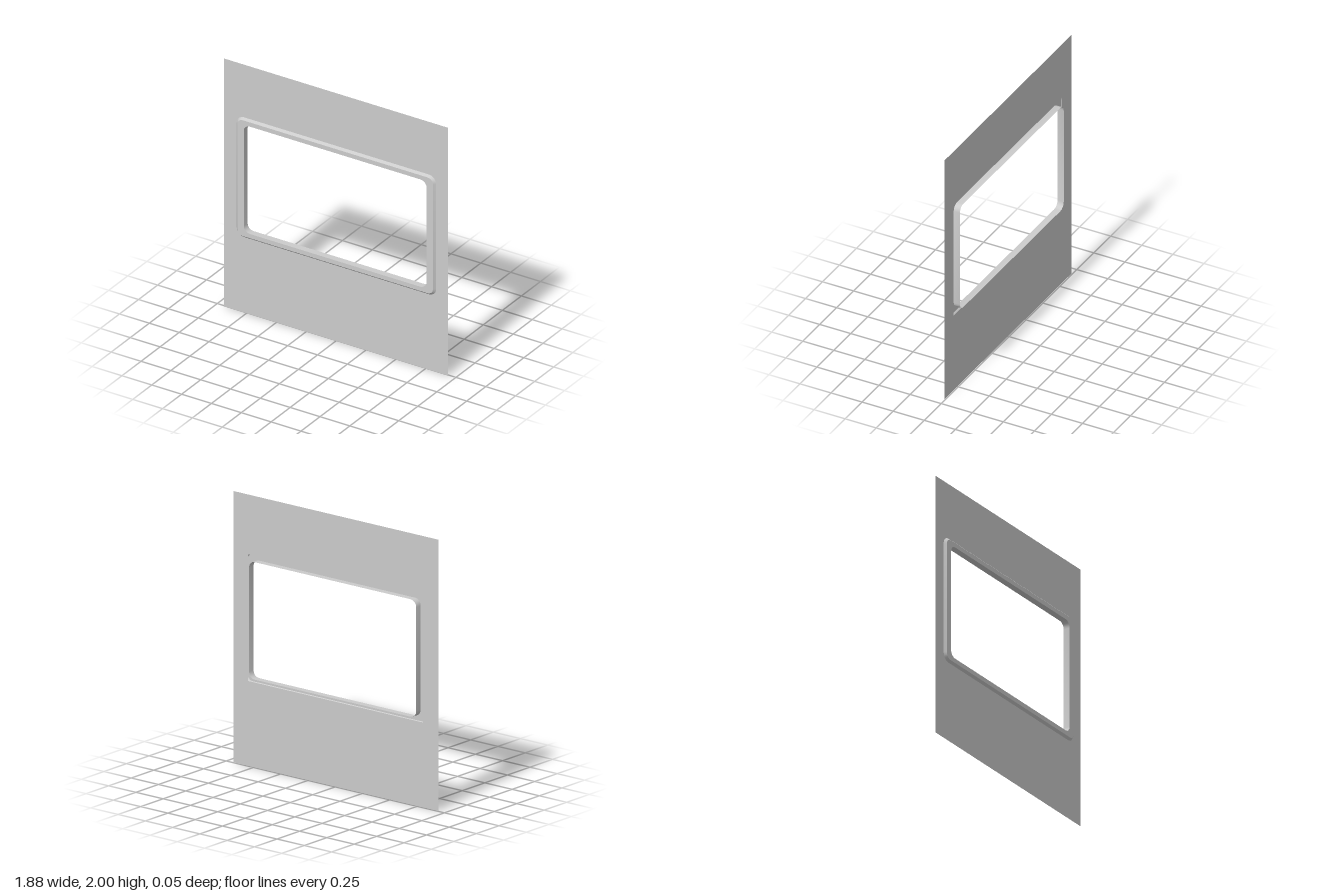
import * as THREE from 'three';
import { toCreasedNormals } from 'three/addons/utils/BufferGeometryUtils.js';

const CX = 0.004, CY = 1.092; // centre of the window opening
const PANEL_Z = 0.008, FRONT_Z = 0.025, BACK_Z = -0.025;
const CORNER_STEPS = 4;

// Rounded rectangle loop, counter-clockwise seen from the front
function roundedLoop(halfW, halfH, r, z) {
  const points = [];
  const corners = [[1, 1], [-1, 1], [-1, -1], [1, -1]];
  corners.forEach(([sx, sy], c) => {
    for (let i = 0; i <= CORNER_STEPS; i++) {
      const a = (c + i / CORNER_STEPS) * Math.PI / 2;
      points.push([
        CX + sx * (halfW - r) + r * Math.cos(a),
        CY + sy * (halfH - r) + r * Math.sin(a),
        z,
      ]);
    }
  });
  return points;
}

// Joins successive loops with quads
function loft(loops) {
  const n = loops[0].length;
  const index = [];
  for (let k = 0; k < loops.length - 1; k++) {
    for (let i = 0; i < n; i++) {
      const j = (i + 1) % n;
      const a = k * n + i, b = k * n + j, c = a + n, d = b + n;
      index.push(a, b, d, a, d, c);
    }
  }
  const geometry = new THREE.BufferGeometry();
  geometry.setAttribute('position', new THREE.Float32BufferAttribute(loops.flat(2), 3));
  geometry.setIndex(index);
  return toCreasedNormals(geometry, 0.55);
}

function rectangle(path, x0, y0, x1, y1) {
  path.moveTo(x0, y0);
  path.lineTo(x1, y0);
  path.lineTo(x1, y1);
  path.lineTo(x0, y1);
  path.closePath();
  return path;
}

export function createModel() {
  const group = new THREE.Group();
  const material = new THREE.MeshStandardMaterial({ color: 0xcccccc, side: THREE.DoubleSide });

  // Thin wall panel with a square-cornered cutout hidden behind the frame
  const shape = rectangle(new THREE.Shape(), -0.94, 0, 0.94, 2);
  shape.holes.push(rectangle(new THREE.Path(), CX - 0.802, CY - 0.467, CX + 0.802, CY + 0.467));
  const panel = new THREE.Mesh(new THREE.ShapeGeometry(shape), material);
  panel.name = 'wallPanel';
  panel.position.z = PANEL_Z;
  group.add(panel);

  // Window frame: bevelled rim, flat face, then the lining through the opening
  const frame = new THREE.Mesh(loft([
    roundedLoop(0.836, 0.483, 0.06, PANEL_Z),
    roundedLoop(0.82, 0.467, 0.045, FRONT_Z),
    roundedLoop(0.766, 0.433, 0.05, FRONT_Z),
    roundedLoop(0.766, 0.433, 0.05, BACK_Z),
  ]), material);
  frame.name = 'windowFrame';
  group.add(frame);

  return group;
}
